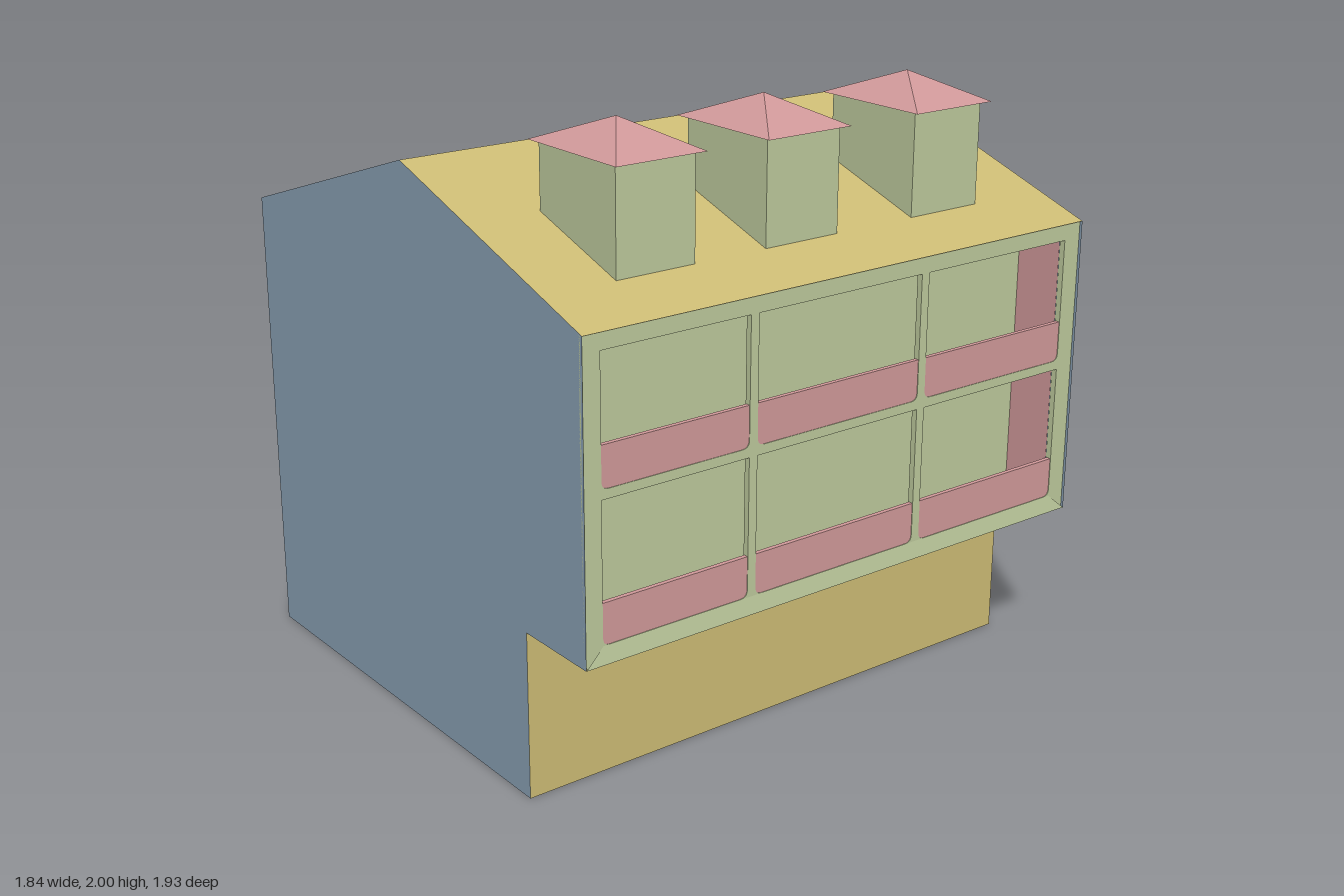
import * as THREE from 'three';

const mat = (name, color) => {
  const m = new THREE.MeshStandardMaterial({ color, side: THREE.DoubleSide });
  m.name = name;
  return m;
};

export function createModel() {
  const blue = mat('blue wall', 0x869db0);
  const gold = mat('gold', 0xccbb74);
  const green = mat('pale green', 0xbcc89b);
  const pink = mat('pink', 0xcf9899);

  const model = new THREE.Group();
  model.name = 'house';
  const add = (name, geometry, material, parent = model) => {
    const mesh = new THREE.Mesh(geometry, material);
    mesh.name = name;
    parent.add(mesh);
    return mesh;
  };
  // Flat four-cornered panel, corners counter-clockwise from its front
  const quad = (name, material, a, b, c, d) => {
    const g = new THREE.BufferGeometry();
    g.setAttribute('position', new THREE.Float32BufferAttribute([a, b, c, a, c, d].flat(), 3));
    g.computeVertexNormals();
    return add(name, g, material);
  };
  const box = (name, material, x0, x1, y0, y1, z0, z1, parent) => {
    const g = new THREE.BoxGeometry(x1 - x0, y1 - y0, z1 - z0);
    g.translate((x0 + x1) / 2, (y0 + y1) / 2, (z0 + z1) / 2);
    return add(name, g, material, parent);
  };

  const X = 0.92, Z = 0.965, base = 0.62;          // half width, half depth, lower wall
  const soffit = 0.545, eave = 1.525, ridge = 1.825;
  const facadeX = 0.91, recessX = 0.72;

  // Gable walls with the overhanging upper storeys
  const gable = new THREE.Shape([
    [-X, 0], [base, 0], [base, soffit], [X, soffit], [X, eave], [0, ridge], [-X, eave],
  ].map(([x, y]) => new THREE.Vector2(x, y)));
  add('frontWall', new THREE.ShapeGeometry(gable), blue).position.z = Z;
  add('backWall', new THREE.ShapeGeometry(gable).rotateY(Math.PI).scale(-1, 1, 1), blue).position.z = -Z;
  quad('rightWall', blue, [-X, 0, -Z], [-X, 0, Z], [-X, eave, Z], [-X, eave, -Z]);

  // Lower wall, overhang underside and the two roof slopes
  quad('lowerWall', gold, [base, 0, Z], [base, 0, -Z], [base, soffit, -Z], [base, soffit, Z]);
  quad('overhangUnderside', gold, [base, soffit, -Z], [X, soffit, -Z], [X, soffit, Z], [base, soffit, Z]);
  quad('leftRoof', gold, [0, ridge, Z], [X, eave, Z], [X, eave, -Z], [0, ridge, -Z]);
  quad('rightRoof', gold, [-X, eave, Z], [0, ridge, Z], [0, ridge, -Z], [-X, eave, -Z]);

  // Balcony openings: bays along the facade (u = -z) and two floors
  const bays = [[-0.9, -0.38], [-0.35, 0.28], [0.31, 0.9]];
  const floors = [
    { bottom: 0.6, rail: 0.73, top: 1.04 },
    { bottom: 1.07, rail: 1.2, top: 1.47 },
  ];
  const opening = (u0, u1, y0, y1, r = 0.025) => {
    const s = new THREE.Shape();
    s.moveTo(u0 + r, y0);
    s.lineTo(u1 - r, y0);
    s.quadraticCurveTo(u1, y0, u1, y0 + r);
    s.lineTo(u1, y1);
    s.lineTo(u0, y1);
    s.lineTo(u0, y0 + r);
    s.quadraticCurveTo(u0, y0, u0 + r, y0);
    return s;
  };
  const plate = (name, shape, material, depth, x) => {
    const g = new THREE.ExtrudeGeometry(shape, { depth, bevelEnabled: false, curveSegments: 5 });
    add(name, g.rotateY(Math.PI / 2).translate(x - depth, 0, 0), material);
  };
  const facade = new THREE.Shape([
    [-Z, soffit], [Z, soffit], [Z, eave], [-Z, eave],
  ].map(([u, y]) => new THREE.Vector2(u, y)));
  for (const f of floors) {
    for (const [u0, u1] of bays) {
      facade.holes.push(opening(u0, u1, f.bottom, f.top));
      plate('balconyRail', opening(u0, u1, f.bottom, f.rail), pink, 0.015, facadeX - 0.002);
    }
  }
  plate('facade', facade, green, 0.02, facadeX);

  // Sloping ledge along the bottom of the facade
  quad('facadeLedge', green, [X, soffit, Z], [X, soffit, -Z], [facadeX + 0.001, 0.6, -0.9], [facadeX + 0.001, 0.6, 0.9]);

  // Recessed balconies behind the openings
  const inner = facadeX - 0.02;
  quad('balconyBackWall', green, [recessX, 0.6, 0.9], [recessX, 0.6, -0.9], [recessX, 1.47, -0.9], [recessX, 1.47, 0.9]);
  box('balconySlab', green, recessX, inner, 1.04, 1.07, -0.9, 0.9);
  box('balconyFloor', green, recessX, inner, 0.58, 0.6, -0.9, 0.9);
  box('balconyCeiling', green, recessX, inner, 1.47, 1.49, -0.9, 0.9);
  for (const f of floors) {
    for (const s of [-1, 1]) {
      const z = s * 0.899;
      quad('balconyEndWall', pink, [recessX, f.bottom, z], [inner, f.bottom, z], [inner, f.top, z], [recessX, f.top, z]);
    }
  }

  // Three roof turrets with pyramid caps
  const roofY = (x) => ridge - (ridge - eave) * x / X;
  for (const z of [0.578, 0.042, -0.537]) {
    const turret = new THREE.Group();
    turret.name = 'roofTurret';
    turret.position.set(0.545, 0, z);
    const body = new THREE.Shape([
      [-0.185, roofY(0.36)], [0.185, roofY(0.73)], [0.185, 1.915], [-0.185, 1.915],
    ].map(([x, y]) => new THREE.Vector2(x, y)));
    const g = new THREE.ExtrudeGeometry(body, { depth: 0.276, bevelEnabled: false });
    add('turretBody', g.translate(0, 0, -0.138), green, turret);
    const cap = new THREE.ConeGeometry(Math.SQRT1_2, 1, 4).toNonIndexed();
    cap.rotateY(Math.PI / 4).scale(0.43, 0.085, 0.315).translate(0, 1.9575, 0);
    cap.computeVertexNormals();
    add('turretCap', cap, pink, turret);
    model.add(turret);
  }
  return model;
}
